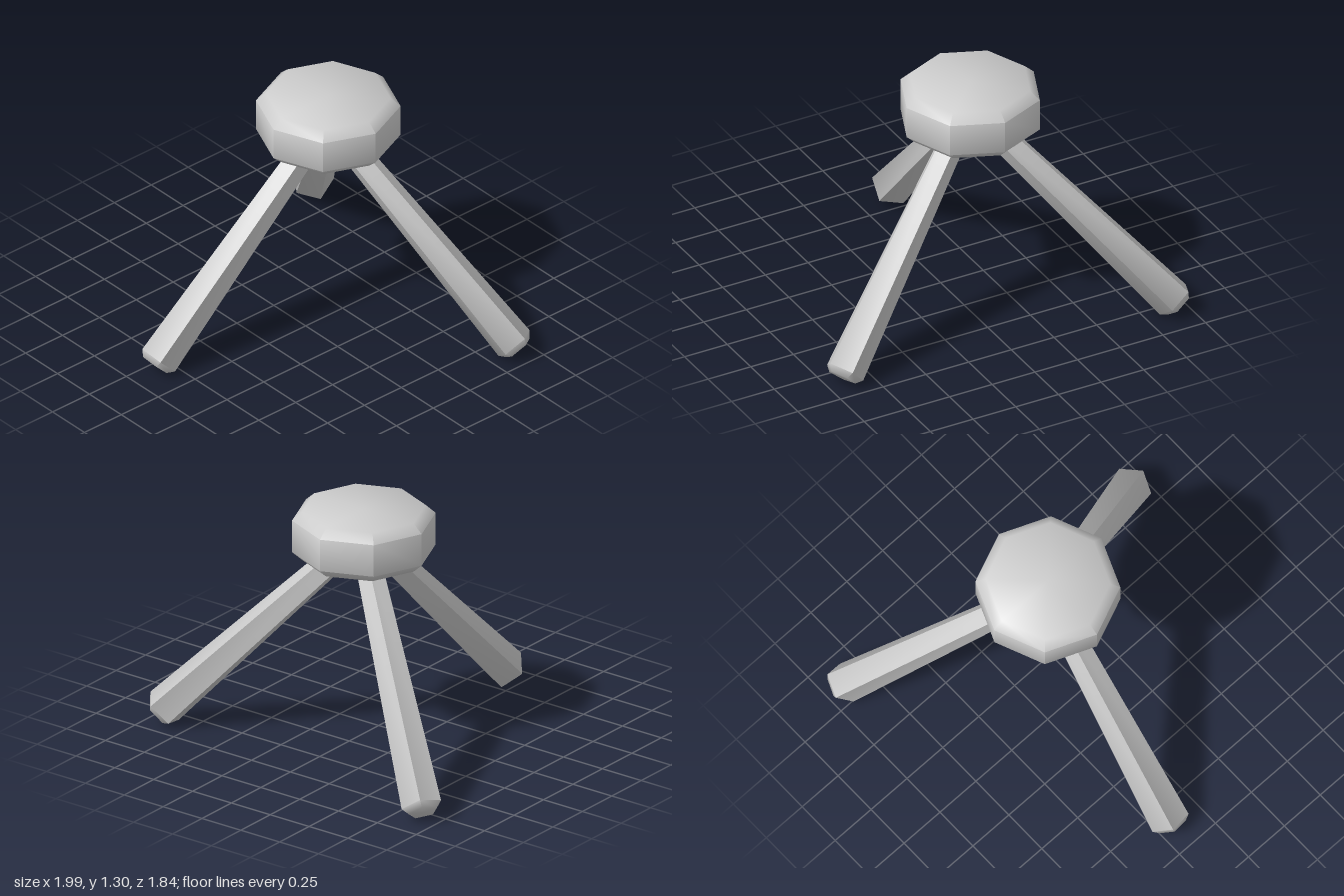
import * as THREE from 'three';
import { toCreasedNormals } from 'three/addons/utils/BufferGeometryUtils.js';

// Few-sided turned solid from [radius, height] pairs, listed bottom to top.
// Corners sharper than 60 degrees stay crisp, softer ones are smoothed.
function turned(profile, sides) {
  const points = profile.map(([r, y]) => new THREE.Vector2(r, y));
  return toCreasedNormals(new THREE.LatheGeometry(points, sides), Math.PI / 3);
}

export function createModel() {
  const model = new THREE.Group();
  model.name = 'threeLeggedStool';
  const grey = new THREE.MeshStandardMaterial({ color: 0xcccccc });
  grey.name = 'light grey';

  // Everything is arranged around the seat's axis
  const stool = new THREE.Group();
  stool.name = 'stool';
  stool.position.set(-0.06, 0, -0.205);
  model.add(stool);

  // Octagonal seat with bevelled rims
  const seat = new THREE.Mesh(turned([
    [0, 1.033], [0.32, 1.033], [0.372, 1.08],
    [0.372, 1.256], [0.32, 1.303], [0, 1.303],
  ], 8), grey);
  seat.name = 'seat';
  stool.add(seat);

  // Splayed pentagonal leg, thicker at the foot, with a bevelled end
  const foot = new THREE.Vector3(-0.12, 0.076, 1.052);
  const top = new THREE.Vector3(-0.01, 1.16, 0);
  const up = top.clone().sub(foot);
  const length = up.length();
  up.normalize();
  const side = up.clone().cross(new THREE.Vector3(-0.041, 0.074, 0.073)).normalize();
  const ridge = side.clone().cross(up);
  const legGeometry = turned([
    [0, -0.032], [0.078, -0.032], [0.109, 0], [0.066, length], [0, length],
  ], 5);
  legGeometry.applyMatrix4(new THREE.Matrix4().makeBasis(side, up, ridge).setPosition(foot));

  // Three legs, a third of a turn apart
  ['frontLeg', 'leftLeg', 'rightLeg'].forEach((name, i) => {
    const leg = new THREE.Mesh(legGeometry, grey);
    leg.name = name;
    leg.rotation.y = i * Math.PI * 2 / 3;
    stool.add(leg);
  });

  return model;
}
